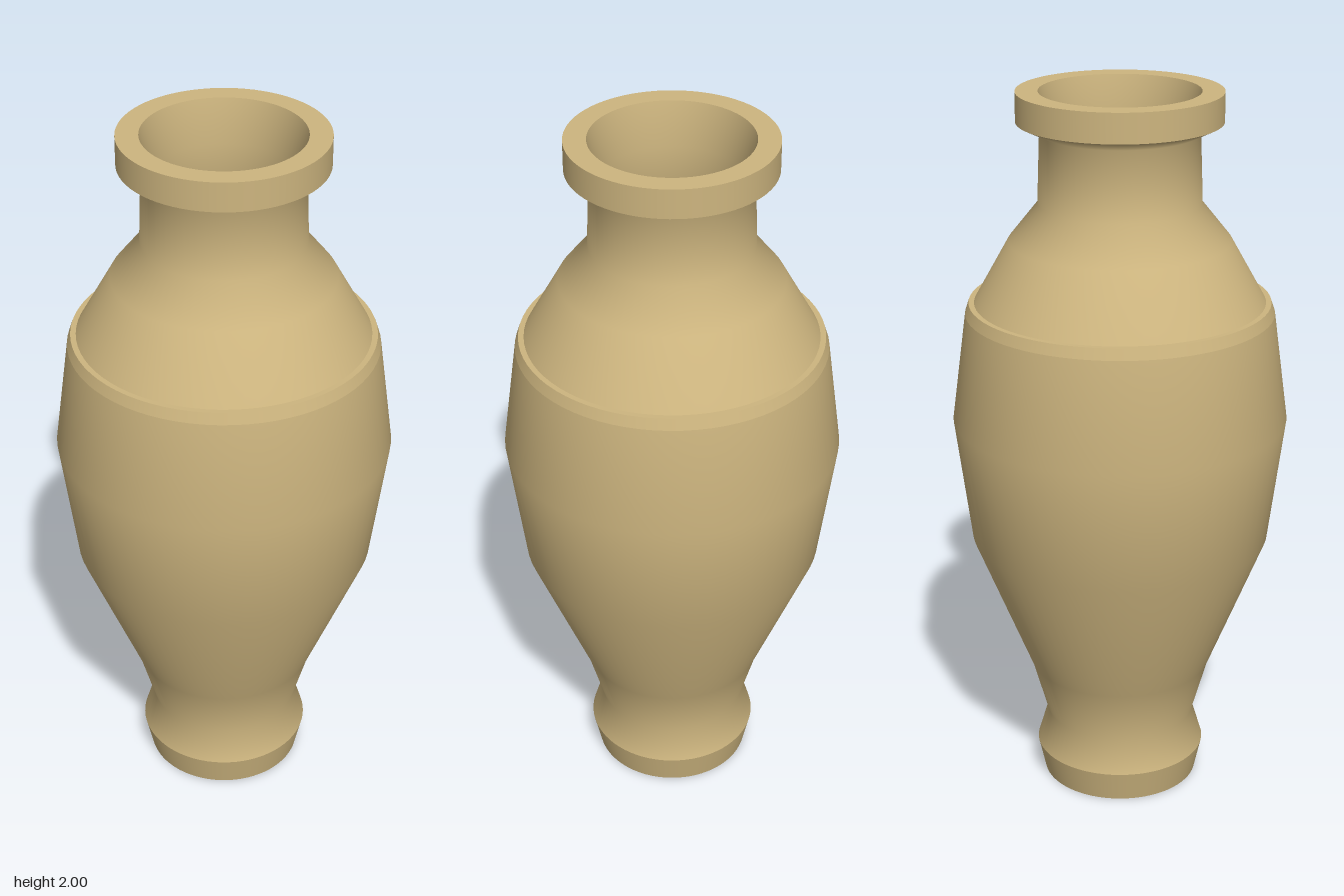
import * as THREE from 'three';

const SEGMENTS = 72;

export function createModel() {
  const group = new THREE.Group();
  group.name = 'vase';

  const clay = new THREE.MeshStandardMaterial({ color: 0xcdb57f });
  clay.name = 'tan clay';

  // Each section is smooth inside and meets its neighbours at a sharp edge.
  // Radius and height pairs run up the outside, over the rim and down the inside.
  const sections = {
    base: [[0, 0], [0.22, 0]],
    foot: [[0.22, 0], [0.24, 0.09]],
    body: [[0.24, 0.09], [0.21, 0.19], [0.255, 0.35], [0.415, 0.75], [0.46, 1.1], [0.42, 1.4]],
    bodyEdge: [[0.42, 1.4], [0.41, 1.43]],
    ledge: [[0.41, 1.43], [0.395, 1.43]],
    shoulderAndNeck: [[0.395, 1.43], [0.3, 1.6], [0.22, 1.7], [0.213, 1.89], [0.275, 1.92]],
    rim: [[0.275, 1.92], [0.275, 2]],
    rimTop: [[0.275, 2], [0.215, 2]],
    innerWall: [[0.215, 2], [0.19, 1.88], [0.2, 1.69], [0.28, 1.59], [0.39, 1.4],
      [0.44, 1.1], [0.395, 0.75], [0.235, 0.35], [0.19, 0.19]],
    innerFloor: [[0.19, 0.19], [0, 0.19]],
  };

  for (const [name, profile] of Object.entries(sections)) {
    const points = profile.map(([r, y]) => new THREE.Vector2(r, y));
    const mesh = new THREE.Mesh(new THREE.LatheGeometry(points, SEGMENTS), clay);
    mesh.name = name;
    group.add(mesh);
  }
  return group;
}
